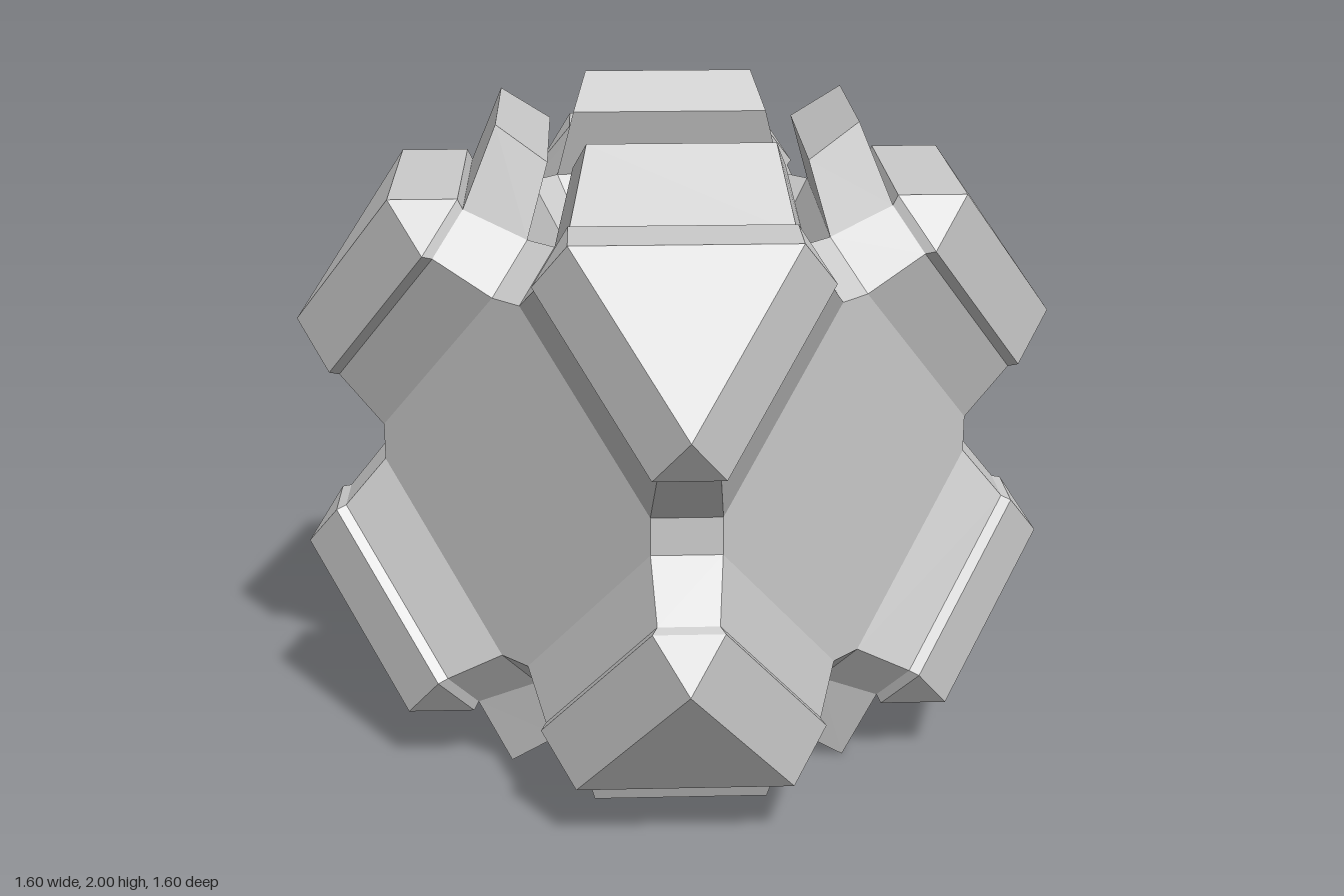
import * as THREE from 'three';

// Corner block profile on the +z side of the +x+y+z octant, from tip edge to panel rim.
// Each row [a, b, c] gives the edge from (a, b, c) to (b, a, c).
const ROWS = [[0.36, 0.8, 0.8], [0.22, 0.66, 0.8], [0.21, 0.65, 0.77], [0.055, 0.55, 0.69]];
// Raised flap standing on the last two rows (top and bottom only)
const FLAP = [ROWS[2], [0.18, 0.545, 1], [0.05, 0.47, 0.9], ROWS[3]];
const FLOOR_SCALE = 0.68, FLOOR_HEIGHT = 0.45;

// Cyclic axis turns: the profile's third axis becomes z, y or x
const turns = {
  z: ([a, b, c]) => [a, b, c],
  y: ([a, b, c]) => [b, c, a],
  x: ([a, b, c]) => [c, a, b],
};
const swap = ([a, b, c]) => [b, a, c];

// Mirrors one octant's polygons into all eight and makes a mesh
function mirroredMesh(name, polygons) {
  const pos = [];
  for (const sx of [1, -1]) for (const sy of [1, -1]) for (const sz of [1, -1]) {
    for (const poly of polygons) {
      const pts = poly.map(([x, y, z]) => [x * sx, y * sy + 1, z * sz]);
      if (sx * sy * sz < 0) pts.reverse();
      for (let i = 1; i < pts.length - 1; i++) pos.push(...pts[0], ...pts[i], ...pts[i + 1]);
    }
  }
  const geo = new THREE.BufferGeometry();
  geo.setAttribute('position', new THREE.Float32BufferAttribute(pos, 3));
  geo.computeVertexNormals();
  const mesh = new THREE.Mesh(geo, new THREE.MeshStandardMaterial({ color: 0xcccccc, flatShading: true }));
  mesh.name = name;
  return mesh;
}

// Quads running between consecutive rows and their swapped ends
function strip(rows) {
  return rows.slice(1).map((r, i) => [rows[i], r, swap(r), swap(rows[i])]);
}

// Quads closing the end of a block between two neighbouring sides
function ends(rows) {
  const other = ([a, b, c]) => [a, c, b];
  return rows.slice(1).map((r, i) => [rows[i], other(rows[i]), other(r), r]);
}

export function createModel() {
  const corners = [], flaps = [], connectors = [], panels = [], recesses = [];

  // Triangular tip of each corner block
  corners.push(['z', 'x', 'y'].map((k) => turns[k](ROWS[0])));

  const [a, b, c] = ROWS[3];
  const rim = [[b, 0, c], [b, a, c], [a, b, c], [0, b, c]];

  for (const axis of ['x', 'y', 'z']) {
    const place = (polys) => polys.map((poly) => poly.map(turns[axis]));
    corners.push(...place(ends(ROWS)));

    // Narrow bridge between adjacent panels
    connectors.push(...place(ends([ROWS[3], [0, b, c]])));

    if (axis === 'y') {
      // Raised flaps with closed ends
      corners.push(...place(strip(ROWS.slice(0, 3))));
      flaps.push(...place([
        ...strip(FLAP),
        [...FLAP].reverse(),
        FLAP.map(swap),
      ]));
      // Sunken floor with sloping walls
      const floor = rim.map(([x, y]) => [x * FLOOR_SCALE, y * FLOOR_SCALE, FLOOR_HEIGHT]);
      recesses.push(...place([
        [[0, 0, FLOOR_HEIGHT], ...floor],
        ...[0, 1, 2].map((i) => [rim[i], rim[i + 1], floor[i + 1], floor[i]]),
      ]));
    } else {
      corners.push(...place(strip(ROWS)));
      panels.push(...place([[[0, 0, c], ...rim]]));
    }
  }

  const group = new THREE.Group();
  group.name = 'faceted cage';
  group.add(
    mirroredMesh('cornerBlocks', corners),
    mirroredMesh('flaps', flaps),
    mirroredMesh('connectors', connectors),
    mirroredMesh('sidePanels', panels),
    mirroredMesh('recesses', recesses),
  );
  return group;
}
